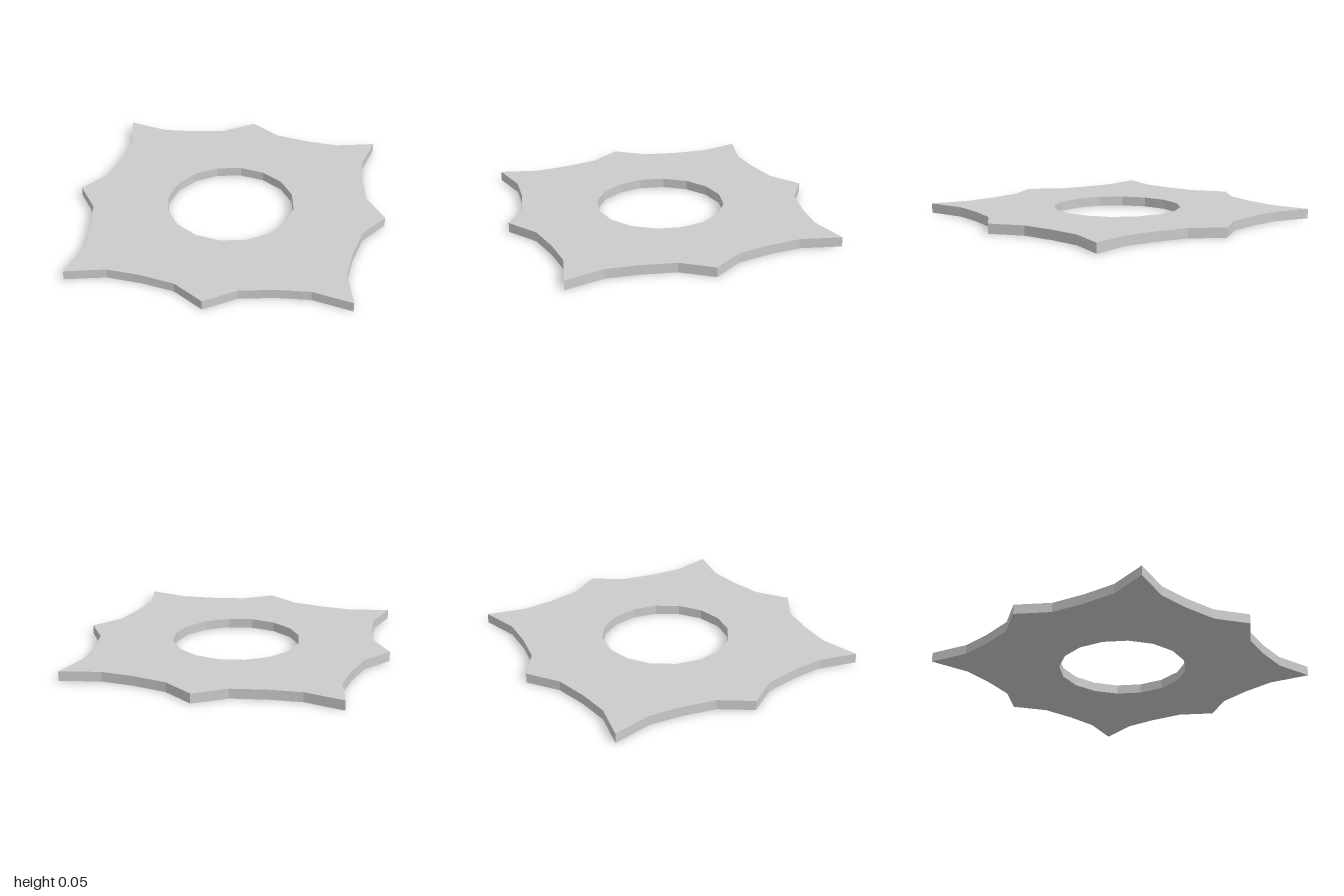
import * as THREE from 'three';
import { toCreasedNormals } from 'three/addons/utils/BufferGeometryUtils.js';

export function createModel() {
  const group = new THREE.Group();
  group.name = 'starRing';

  // One quarter of the outline: long point, concave curve, short diagonal point, mirrored back
  const eighth = [[1, 0], [0.82, 0.11], [0.71, 0.24], [0.61, 0.39], [0.575, 0.575]];
  const mirrored = eighth.slice(1, 4).reverse().map(([x, y]) => [y, x]);
  const quarter = [...eighth, ...mirrored].map(([x, y]) => new THREE.Vector2(x, y));

  // Four quarter turns make the eight-pointed star
  const centre = new THREE.Vector2();
  const outline = [];
  for (let i = 0; i < 4; i++) {
    for (const p of quarter) outline.push(p.clone().rotateAround(centre, i * Math.PI / 2));
  }
  const shape = new THREE.Shape(outline);

  // Sixteen-sided centre hole
  const hole = [];
  for (let i = 0; i < 16; i++) {
    const a = -i * Math.PI / 8;
    hole.push(new THREE.Vector2(0.335 * Math.cos(a), 0.335 * Math.sin(a)));
  }
  shape.holes.push(new THREE.Path(hole));

  // Flat plate lying on the ground
  const geometry = new THREE.ExtrudeGeometry(shape, { depth: 0.05, bevelEnabled: false });
  geometry.rotateX(-Math.PI / 2);
  const plate = new THREE.Mesh(
    toCreasedNormals(geometry, Math.PI / 12),
    new THREE.MeshStandardMaterial({ color: 0xcccccc })
  );
  plate.name = 'starPlate';
  group.add(plate);
  return group;
}
